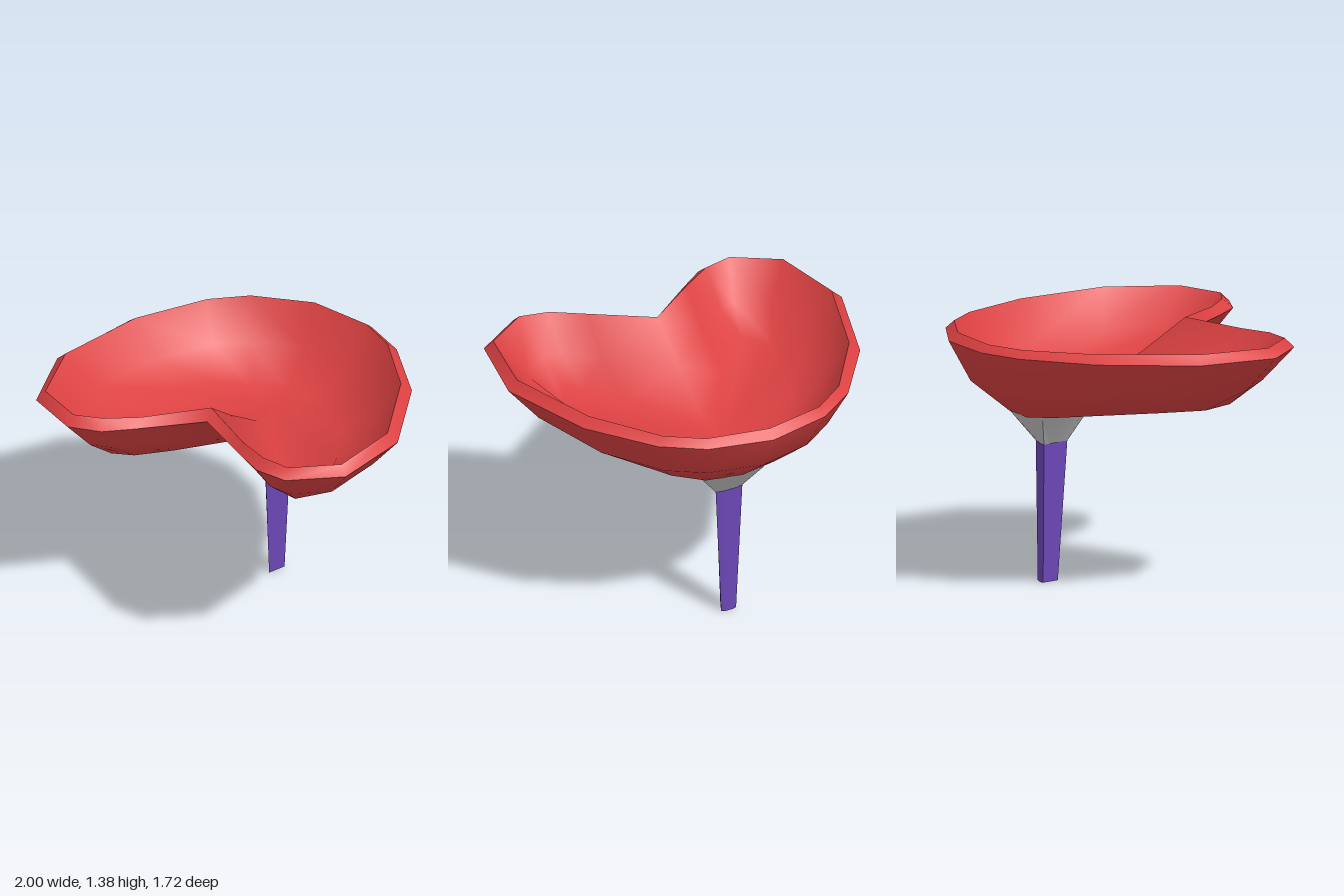
import * as THREE from 'three';
import { toCreasedNormals } from 'three/addons/utils/BufferGeometryUtils.js';

const red = new THREE.MeshStandardMaterial({ color: 0xdc4142 });
red.name = 'red';
const grey = new THREE.MeshStandardMaterial({ color: 0xc6c6c6 });
grey.name = 'grey';
const purple = new THREE.MeshStandardMaterial({ color: 0x6c47b6 });
purple.name = 'purple';

// Half outline from the back, round the left side, to the front; mirrored into a full ring
function mirrorRing(half) {
  const mirrored = half.slice(1, -1).reverse().map(([x, y, z]) => [-x, y, z]);
  return [...half, ...mirrored];
}

const level = (half, y) => mirrorRing(half.map(([x, z]) => [x, y, z]));
const pointRing = (p, count) => Array.from({ length: count }, () => p);

// Skin over successive rings, with edges sharper than the crease angle kept hard
function loft(rings, crease) {
  const pos = [];
  const same = (p, q) => p.every((v, i) => v === q[i]);
  const tri = (a, b, c) => {
    if (!same(a, b) && !same(b, c) && !same(a, c)) pos.push(...a, ...b, ...c);
  };
  for (let r = 0; r < rings.length - 1; r++) {
    const up = rings[r], low = rings[r + 1], n = up.length;
    for (let i = 0; i < n; i++) {
      const j = (i + 1) % n;
      // diagonals follow the mirror symmetry
      if (i < n / 2) {
        tri(up[i], up[j], low[j]);
        tri(up[i], low[j], low[i]);
      } else {
        tri(up[i], up[j], low[i]);
        tri(up[j], low[j], low[i]);
      }
    }
  }
  const geo = new THREE.BufferGeometry();
  geo.setAttribute('position', new THREE.Float32BufferAttribute(pos, 3));
  return toCreasedNormals(geo, crease);
}

function part(name, geometry, material) {
  const mesh = new THREE.Mesh(geometry, material);
  mesh.name = name;
  return mesh;
}

export function createModel() {
  const model = new THREE.Group();
  model.name = 'notchedTrayOnStem';

  // Tray: outer rim, middle and bottom outlines
  const rim = level([[0, -0.86], [0.35, -0.78], [0.57, -0.63], [0.83, -0.28], [1, 0.24],
    [0.91, 0.68], [0.64, 0.857], [0.455, 0.825], [0.3, 0.715], [0, 0.487]], 1.32);
  const middle = mirrorRing([[0, 1.1, -0.74], [0.3, 1.1, -0.67], [0.49, 1.1, -0.54],
    [0.7, 1.11, -0.24], [0.84, 1.13, 0.2], [0.77, 1.13, 0.56], [0.58, 1.14, 0.7],
    [0.46, 1.14, 0.67], [0.3, 1.14, 0.54], [0, 1.16, 0.25]]);
  const bottom = mirrorRing([[0, 0.93, -0.53], [0.21, 0.93, -0.49], [0.36, 0.95, -0.39],
    [0.54, 0.985, -0.17], [0.65, 1.005, 0.13], [0.67, 1.01, 0.36], [0.54, 1.01, 0.53],
    [0.43, 1.0, 0.48], [0.29, 0.97, 0.3], [0, 0.93, -0.07]]);
  const innerRim = mirrorRing([[0, 1.365, -0.81], [0.34, 1.36, -0.735], [0.53, 1.36, -0.6],
    [0.78, 1.365, -0.25], [0.945, 1.37, 0.25], [0.87, 1.37, 0.65], [0.63, 1.37, 0.805],
    [0.47, 1.37, 0.77], [0.3, 1.365, 0.665], [0, 1.38, 0.437]]);

  // Inside surface: the outer outlines drawn in by the rim's width and raised by the thickness
  const inside = (ring, thickness) => ring.map(([x, y, z], i) =>
    [x + innerRim[i][0] - rim[i][0], y + thickness, z + innerRim[i][2] - rim[i][2]]);
  const n = rim.length;
  model.add(part('tray', loft([
    pointRing([0, 1.02, -0.28], n), inside(bottom, 0.075), inside(middle, 0.05), innerRim,
    rim, middle, bottom, pointRing([0, 0.925, -0.28], n),
  ], 1.2), red));

  // Flared collar between tray and stem
  const collarTop = level([[0, -0.53], [0.13, -0.515], [0.23, -0.41], [0.21, -0.28],
    [0.11, -0.15], [0, -0.075]], 0.935);
  const stemTop = level([[0, -0.37], [0.045, -0.37], [0.08, -0.36], [0.06, -0.322],
    [0.035, -0.276], [0, -0.21]], 0.75);
  model.add(part('collar', loft([collarTop, stemTop], 0.9), grey));

  // Tapered three-sided stem with a ridge at the front
  const foot = level([[0, -0.365], [0.025, -0.365], [0.045, -0.355], [0.034, -0.332],
    [0.02, -0.303], [0, -0.262]], 0);
  model.add(part('stem', loft([stemTop, foot, pointRing([0, 0, -0.32], foot.length)], 0.5), purple));

  return model;
}
